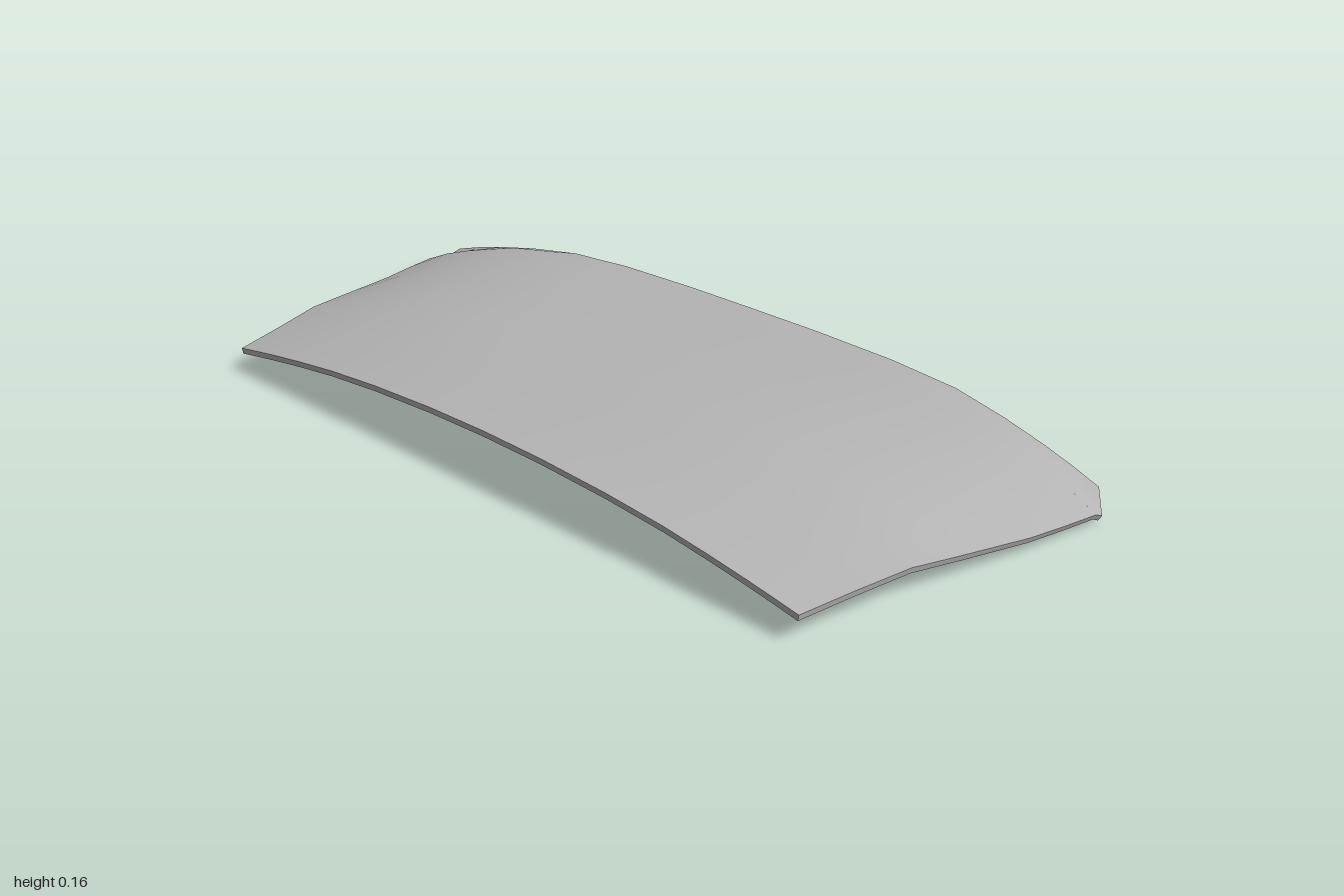
import * as THREE from 'three';

const THICKNESS = 0.014;
// Column positions as fractions of the half width
const HALF = [0.2, 0.42, 0.6, 0.74, 0.85, 0.93, 1];
const COLS = [...HALF.map((t) => -t).reverse(), 0, ...HALF];

// Cross-sections, front to rear: centre z, edge z, half width, centre y, edge y, curve power
const ROWS = [
  [0.418, 0.426, 0.825, 0.135, 0.064, 2.0],
  [0.300, 0.300, 0.853, 0.143, 0.068, 2.3],
  [0.170, 0.170, 0.885, 0.152, 0.072, 2.8],
  [0.050, 0.050, 0.917, 0.159, 0.059, 3.2],
  [-0.120, -0.120, 0.960, 0.156, 0.041, 3.6],
  [-0.240, -0.220, 0.983, 0.153, 0.036, 4.0],
  [-0.330, -0.300, 0.999, 0.150, 0.032, 4.4],
  [-0.385, -0.332, 0.996, 0.148, 0.015, 4.6],
  [-0.432, -0.375, 0.960, 0.142, 0.050, 3.2],
];

// Rear rows stay straight in the middle and sweep forward towards the corners
function sweep(t) {
  return Math.max(0, (Math.abs(t) - 0.58) / 0.42);
}

function surface(points, index) {
  const g = new THREE.BufferGeometry();
  g.setAttribute('position', new THREE.Float32BufferAttribute(points, 3));
  if (index) g.setIndex(index);
  g.computeVertexNormals();
  return g;
}

export function createModel() {
  const group = new THREE.Group();
  group.name = 'curvedRoofPanel';
  const grey = new THREE.MeshStandardMaterial({ color: 0xb4b4b4 });
  grey.name = 'panelGrey';
  const n = COLS.length, m = ROWS.length;

  // Outer skin
  const top = [];
  for (const [zc, ze, w, yc, ye, p] of ROWS) {
    for (const t of COLS) {
      top.push(t * w, yc - (yc - ye) * Math.abs(t) ** p, zc + (ze - zc) * sweep(t));
    }
  }
  const up = [], down = [];
  for (let r = 0; r < m - 1; r++) {
    for (let c = 0; c < n - 1; c++) {
      const a = r * n + c, b = a + 1, d = a + n, e = d + 1;
      up.push(a, b, e, a, e, d);
      down.push(a, e, b, a, d, e);
    }
  }
  const outer = surface(top, up);

  // Inner skin, set in along the normals
  const normals = outer.attributes.normal.array;
  const bottom = top.map((v, i) => v - normals[i] * THICKNESS);
  const inner = surface(bottom, down);

  // Rim closing the gap between both skins
  const loop = [];
  for (let c = 0; c < n - 1; c++) loop.push(c);
  for (let r = 0; r < m - 1; r++) loop.push(r * n + n - 1);
  for (let c = n - 1; c > 0; c--) loop.push((m - 1) * n + c);
  for (let r = m - 1; r > 0; r--) loop.push(r * n);
  const rimPoints = [];
  const at = (list, i) => list.slice(i * 3, i * 3 + 3);
  loop.forEach((a, i) => {
    const b = loop[(i + 1) % loop.length];
    const [ta, tb, ba, bb] = [at(top, a), at(top, b), at(bottom, a), at(bottom, b)];
    rimPoints.push(...ba, ...bb, ...tb, ...ba, ...tb, ...ta);
  });

  const parts = { outerSkin: outer, innerSkin: inner, edgeRim: surface(rimPoints) };
  for (const [name, geometry] of Object.entries(parts)) {
    const mesh = new THREE.Mesh(geometry, grey);
    mesh.name = name;
    group.add(mesh);
  }

  // Rest the lowest corners on the ground
  const box = new THREE.Box3().setFromObject(group);
  group.children.forEach((mesh) => mesh.geometry.translate(0, -box.min.y, 0));
  return group;
}
